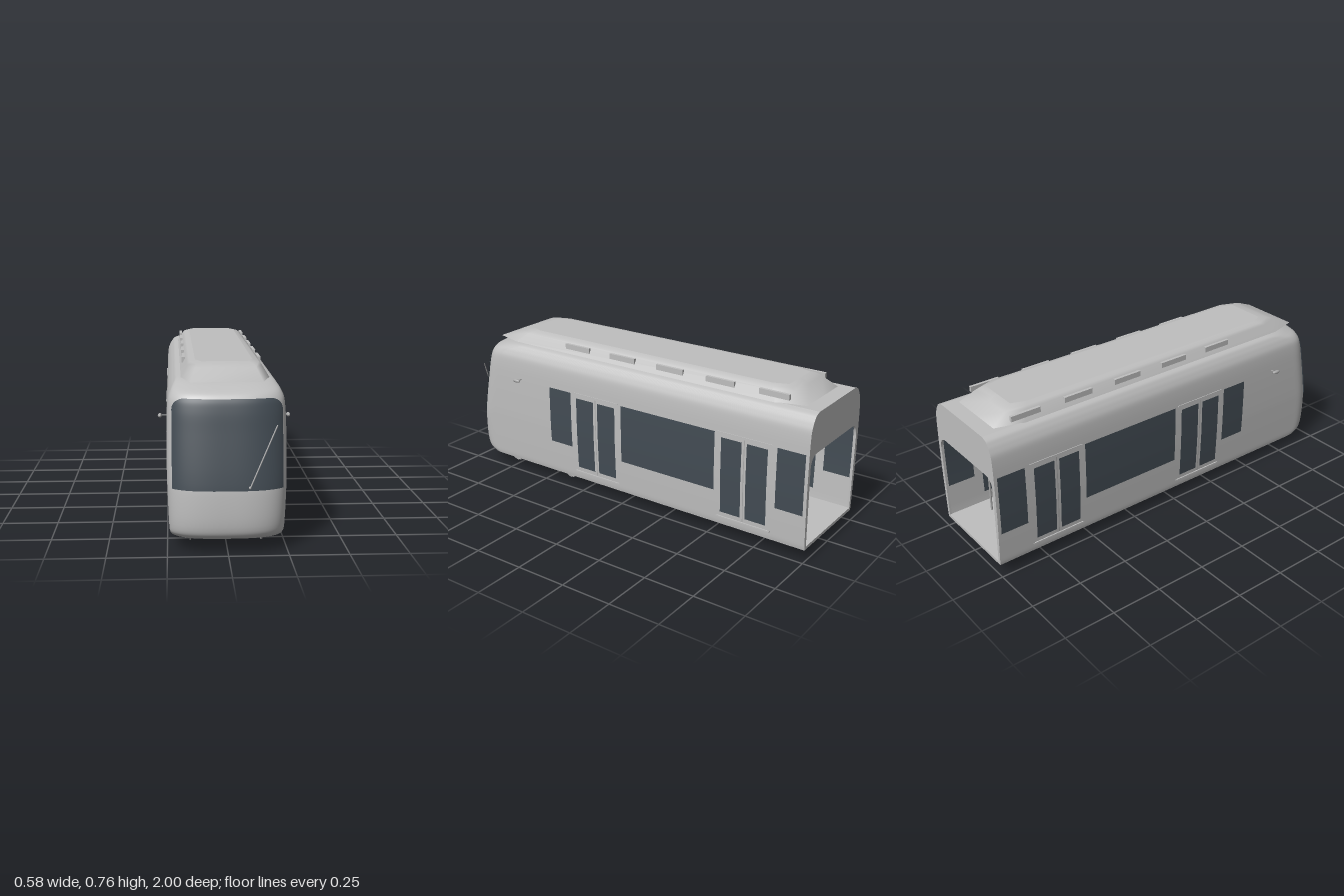
import * as THREE from 'three';

const mat = (name, color) => new THREE.MeshStandardMaterial({ name, color, side: THREE.DoubleSide });

// Body profile: half width, height, nose position
const profile = new THREE.CatmullRomCurve3([
  [0.238, 0.06, 0.955], [0.241, 0.08, 0.982], [0.243, 0.12, 0.994], [0.248, 0.25, 0.994],
  [0.25, 0.32, 0.985], [0.25, 0.5, 0.951], [0.247, 0.59, 0.933], [0.242, 0.63, 0.92],
  [0.232, 0.655, 0.9], [0.22, 0.675, 0.85], [0.207, 0.69, 0.79], [0.18, 0.7, 0.71],
].map(p => new THREE.Vector3(...p))).getPoints(66);
const BACK = -1, CORNER = 0.14, POWER = 2.7;

function section(y) {
  let i = 1;
  while (i < profile.length - 1 && profile[i].y < y) i++;
  const a = profile[i - 1], b = profile[i];
  const t = THREE.MathUtils.clamp((y - a.y) / (b.y - a.y), 0, 1);
  return { w: a.x + (b.x - a.x) * t, nose: a.z + (b.z - a.z) * t };
}

// Plan outline at one height, from the back right round the nose to the back left
function ring(y, off = 0) {
  const { w, nose } = section(y), hw = w + off, zs = nose + off - CORNER;
  const pts = [new THREE.Vector3(-hw, y, BACK)];
  for (let i = 0; i <= 48; i++) {
    const a = Math.PI * (1 - i / 48), c = Math.cos(a), s = Math.max(0, Math.sin(a));
    pts.push(new THREE.Vector3(Math.sign(c) * hw * Math.abs(c) ** (2 / POWER), y, zs + CORNER * s ** (2 / POWER)));
  }
  pts.push(new THREE.Vector3(hw, y, BACK));
  return pts;
}

// Surface through rows of points
function loft(rows) {
  const n = rows[0].length, idx = [];
  for (let j = 0; j < rows.length - 1; j++) {
    for (let i = 0; i < n - 1; i++) {
      const a = j * n + i, c = a + n;
      idx.push(a, a + 1, c + 1, a, c + 1, c);
    }
  }
  const g = new THREE.BufferGeometry().setFromPoints(rows.flat());
  g.setIndex(idx);
  g.computeVertexNormals();
  return g;
}

// Flat horizontal plate inside an outline
function plate(pts, y) {
  const g = new THREE.ShapeGeometry(new THREE.Shape(pts.map(p => new THREE.Vector2(p.x, -p.z))));
  return g.rotateX(-Math.PI / 2).translate(0, y, 0);
}

const steps = (a, b, n) => Array.from({ length: n + 1 }, (_, i) => a + (b - a) * i / n);

// Panel that follows one side wall
function sidePanel(side, z0, z1, y0, y1, off) {
  const zs = side > 0 ? [z0, z1] : [z1, z0];
  return loft(steps(y0, y1, 16).map(y => zs.map(z => new THREE.Vector3(side * (section(y).w + off), y, z))));
}

function rod(a, b, r) {
  const p = new THREE.Vector3(...a), q = new THREE.Vector3(...b);
  return new THREE.TubeGeometry(new THREE.LineCurve3(p, q), 1, r, 10);
}

export function createModel() {
  const model = new THREE.Group();
  model.name = 'tram';
  const body = mat('bodyGrey', 0xbfbfbf), glass = mat('darkGlass', 0x434c54);
  const metal = mat('metalGrey', 0xa8a8a8);
  const add = (name, geo, material = body) => {
    const m = new THREE.Mesh(geo, material);
    m.name = name;
    model.add(m);
    return m;
  };
  const box = (name, sx, sy, sz, x, y, z, m = body) =>
    add(name, new THREE.BoxGeometry(sx, sy, sz).translate(x, y, z), m);

  // Outer shell, roof, underside and inner lining
  add('bodyShell', loft(profile.map(p => ring(p.y))));
  add('roof', plate(ring(0.7), 0.7));
  add('underside', plate(ring(0.06), 0.06).scale(1, 1, 1));
  add('floor', plate(ring(0.08, -0.012), 0.075));
  add('innerLining', loft(steps(0.07, 0.56, 20).map(y => ring(y, -0.012))));
  add('ceiling', plate(ring(0.55, -0.012), 0.55));
  box('cabPartition', 0.474, 0.475, 0.01, 0, 0.312, 0.52);

  // Open rear end with a rounded doorway
  const outline = [...profile.map(p => new THREE.Vector2(p.x, p.y)),
    ...profile.map(p => new THREE.Vector2(-p.x, p.y)).reverse()];
  const end = new THREE.Shape(outline), hole = new THREE.Path();
  hole.moveTo(-0.226, 0.075).lineTo(0.226, 0.075).lineTo(0.232, 0.45);
  hole.quadraticCurveTo(0.23, 0.505, 0.185, 0.51).lineTo(-0.185, 0.51);
  hole.quadraticCurveTo(-0.23, 0.505, -0.232, 0.45).lineTo(-0.226, 0.075);
  end.holes.push(hole);
  add('rearFrame', new THREE.ExtrudeGeometry(end, { depth: 0.01, bevelEnabled: false }).translate(0, 0, BACK));

  // Windscreen wrapped round the nose, with rounded upper corners
  add('windscreen', loft(steps(0, 1, 40).map(v => {
    const y = 0.272 + 0.365 * Math.sin(v * Math.PI / 2);
    const t = Math.max(0, (y - 0.59) / 0.047);
    const half = 0.175 + 0.054 * Math.sqrt(Math.max(0, 1 - t * t));
    const { w, nose } = section(y), hw = w + 0.004;
    return steps(-1, 1, 48).map(u => {
      const x = half * Math.sin(u * Math.PI / 2);
      const z = nose + 0.004 - CORNER + CORNER * (1 - (Math.abs(x) / hw) ** POWER) ** (1 / POWER);
      return new THREE.Vector3(x, y, z);
    });
  })), glass);

  // Wiper
  add('wiper', rod([0.087, 0.285, 1.0], [0.2, 0.535, 0.955], 0.003), metal);
  add('wiperPivot', new THREE.SphereGeometry(0.006, 12, 8).translate(0.087, 0.285, 0.994), metal);

  for (const s of [1, -1]) {
    // Side windows, seen from outside and inside
    for (const [z0, z1] of [[0.45, 0.312], [0, -0.53], [-0.848, -0.985]]) {
      add('sideWindow', sidePanel(s, z0, z1, 0.23, 0.522, 0.002), glass);
      add('sideWindowInside', sidePanel(s, z0, z1, 0.23, 0.522, -0.015), glass);
    }
    // Double doors
    for (const zc of [0.156, -0.685]) {
      for (const d of [0.066, -0.066]) {
        add('doorLeaf', sidePanel(s, zc + d + 0.063, zc + d - 0.063, 0.108, 0.515, 0.002));
        add('doorGlass', sidePanel(s, zc + d + 0.053, zc + d - 0.053, 0.127, 0.502, 0.004), glass);
        add('doorGlassInside', sidePanel(s, zc + d + 0.053, zc + d - 0.053, 0.127, 0.502, -0.015), glass);
      }
      for (const d of [0.137, -0.137]) {
        add('doorPost', sidePanel(s, zc + d + 0.004, zc + d - 0.004, 0.1, 0.525, 0.004));
      }
      add('doorSeal', sidePanel(s, zc + 0.002, zc - 0.002, 0.108, 0.515, 0.003), metal);
      box('doorHeader', 0.01, 0.006, 0.28, s * 0.248, 0.525, zc);
      box('doorSill', 0.012, 0.006, 0.28, s * 0.242, 0.101, zc);
    }
    // Side camera pods
    add('mirrorArm', rod([s * 0.245, 0.523, 0.645], [s * 0.28, 0.523, 0.645], 0.003), metal);
    add('mirrorPod', new THREE.SphereGeometry(0.009, 16, 12).scale(1, 1, 2.6).translate(s * 0.279, 0.523, 0.65), metal);
    // Roof vents
    for (let i = 0; i < 5; i++) box('roofVent', 0.014, 0.026, 0.148, s * 0.173, 0.731, 0.32 - i * 0.275);
    // Interior poles and rails
    for (const z of [-0.82, -0.55, -0.1, 0.29]) {
      add('grabPole', rod([s * 0.14, 0.075, z], [s * 0.14, 0.55, z], 0.005), metal);
    }
    add('grabRail', rod([s * 0.14, 0.47, -0.82], [s * 0.14, 0.47, 0.29], 0.004), metal);
  }

  // Equipment housing on the roof: outline with cut corners, tapering upward
  const podRing = (y, hx, zf, zb, cut) => [
    [0, zb], [-hx * 0.8, zb], [-hx, zb + cut], [-hx, zf - cut], [-hx * 0.8, zf],
    [hx * 0.8, zf], [hx, zf - cut], [hx, zb + cut], [hx * 0.8, zb], [0, zb],
  ].map(([x, z]) => new THREE.Vector3(x, y, z));
  const podRows = [podRing(0.698, 0.188, 0.86, -0.93, 0.14), podRing(0.744, 0.161, 0.755, -0.855, 0.09),
    podRing(0.755, 0.15, 0.72, -0.835, 0.08), podRing(0.761, 0.125, 0.68, -0.81, 0.07)];
  add('roofHousing', loft(podRows));
  add('roofHousingTop', plate(podRows[3].slice(1), 0.761));
  add('roofHousingBase', plate(podRows[0].slice(1), 0.698));

  // Wheels cut off by the underside, with flanges, brake discs and axles
  const halfDisc = (r, width, x, z) => {
    const g = new THREE.CylinderGeometry(r, r, width, 32, 1, false, 0, Math.PI);
    return g.rotateZ(Math.PI / 2).rotateX(Math.PI / 2).translate(x, 0.064, z);
  };
  for (const z of [0.77, 0.39]) {
    for (const s of [1, -1]) {
      for (const [name, r, w, x] of [['wheel', 0.056, 0.024, 0.16], ['wheelFlange', 0.064, 0.006, 0.153],
        ['wheelHub', 0.03, 0.012, 0.176], ['brakeDisc', 0.038, 0.008, 0.1]]) {
        const g = halfDisc(r, w, s * x, z);
        g.computeBoundingBox();
        // keep the round half pointing down
        if (g.boundingBox.max.y > 0.07) g.translate(0, -0.064, 0).rotateZ(Math.PI).translate(2 * s * x, 0.064, 0);
        add(name, g, metal);
      }
    }
    add('axle', rod([-0.16, 0.055, z], [0.16, 0.055, z], 0.006), metal);
  }
  // Motors and bogie side beams
  for (const z of [0.67, 0.48]) {
    add('motor', new THREE.CylinderGeometry(0.022, 0.022, 0.155, 20).rotateZ(Math.PI / 2).translate(-0.012, 0.06, z), metal);
    for (const s of [1, -1]) add('bogieDamper', new THREE.SphereGeometry(0.022, 16, 10).scale(1.1, 0.6, 1.2).translate(s * 0.165, 0.06, z), metal);
  }
  return model;
}
